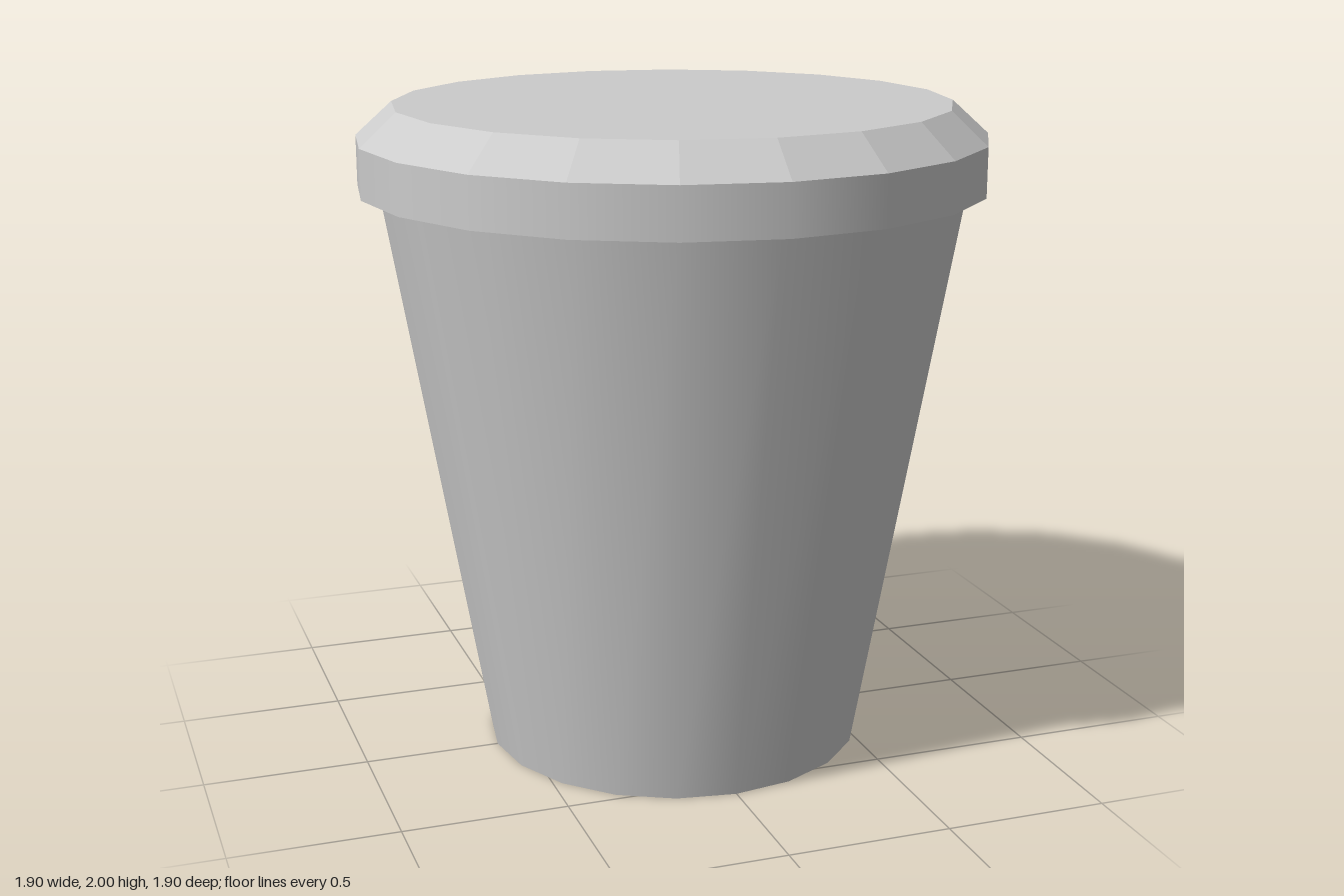
import * as THREE from 'three';

const SIDES = 20;

export function createModel() {
  const group = new THREE.Group();
  group.name = 'liddedCup';
  const smooth = new THREE.MeshStandardMaterial({ color: 0xcccccc });
  const flat = new THREE.MeshStandardMaterial({ color: 0xcccccc, flatShading: true });

  const add = (name, geometry, material = smooth) => {
    const mesh = new THREE.Mesh(geometry, material);
    mesh.name = name;
    group.add(mesh);
  };
  // Open tapered band between two heights
  const band = (rBottom, rTop, y0, y1) =>
    new THREE.CylinderGeometry(rTop, rBottom, y1 - y0, SIDES, 1, true).translate(0, (y0 + y1) / 2, 0);
  // Horizontal disc facing up (dir 1) or down (dir -1)
  const disc = (r, y, dir) =>
    new THREE.CircleGeometry(r, SIDES).rotateX(-dir * Math.PI / 2).translate(0, y, 0);

  // Cup: tapered smooth wall and base
  add('cupWall', band(0.585, 0.89, 0, 1.75));
  add('cupBase', disc(0.585, 0, -1));

  // Lid: overhanging rim, faceted bevel and flat top
  add('lidUnderside', new THREE.RingGeometry(0.89, 0.95, SIDES).rotateX(Math.PI / 2).translate(0, 1.75, 0));
  add('lidRim', band(0.95, 0.95, 1.75, 1.9));
  add('lidBevel', band(0.95, 0.84, 1.9, 2), flat);
  add('lidTop', disc(0.84, 2, 1));

  return group;
}
